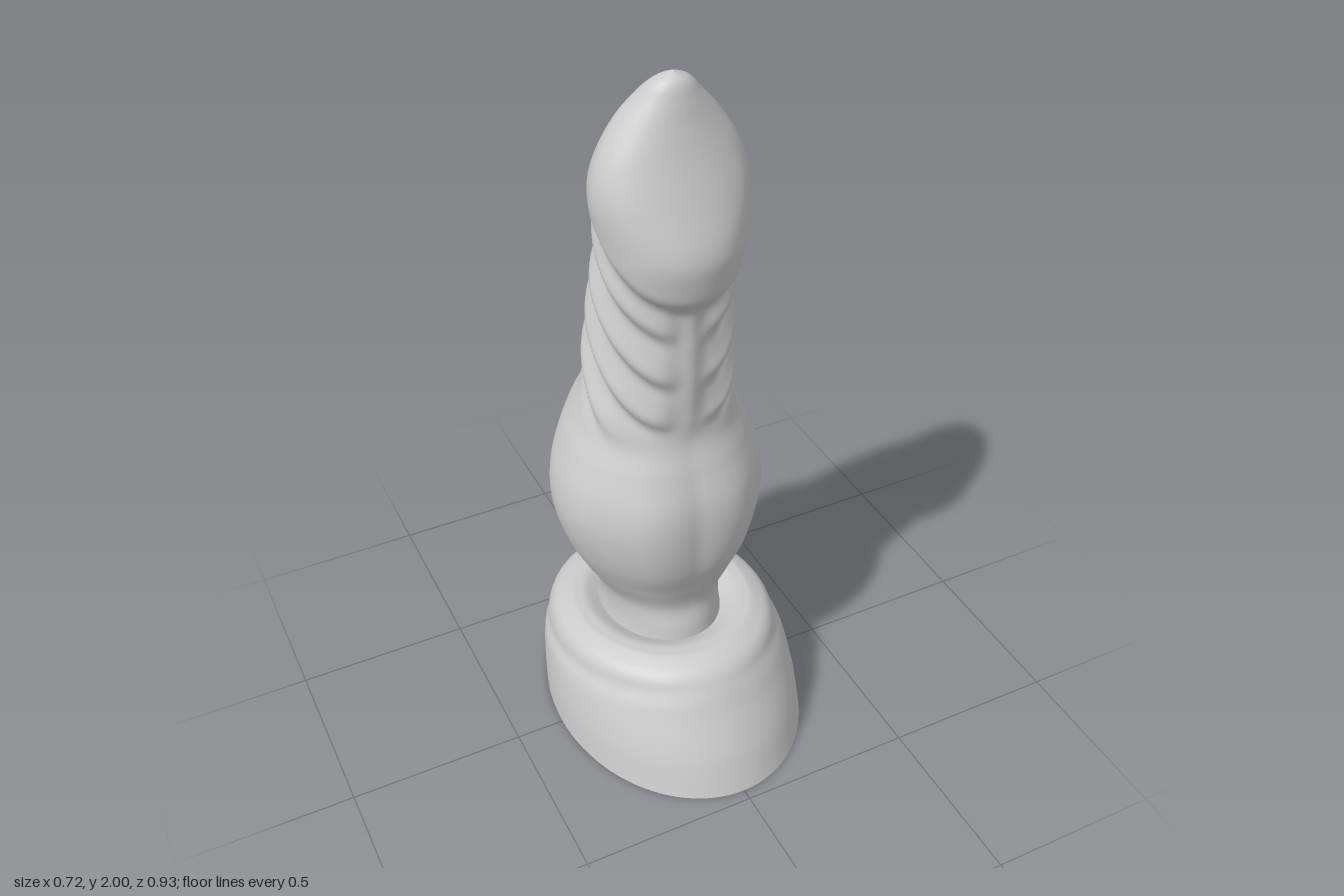
import * as THREE from 'three';

const material = new THREE.MeshStandardMaterial({ color: 0xcccccc, roughness: 0.7 });
const { smoothstep } = THREE.MathUtils;
const bump = (v, centre, width) => Math.exp(-(((v - centre) / width) ** 2));

// Smooth cubic sampling of rows [key, halfWidth, front z, back z]
function sample(rows, key) {
  let i = 0;
  while (i < rows.length - 2 && rows[i + 1][0] < key) i++;
  const a = rows[i], b = rows[i + 1];
  const before = rows[Math.max(i - 1, 0)], after = rows[Math.min(i + 2, rows.length - 1)];
  const h = b[0] - a[0], t = (key - a[0]) / h;
  return [1, 2, 3].map((c) => {
    const m0 = (h * (b[c] - before[c])) / (b[0] - before[0]);
    const m1 = (h * (after[c] - a[c])) / (after[0] - a[0]);
    const t2 = t * t, t3 = t2 * t;
    return (2 * t3 - 3 * t2 + 1) * a[c] + (t3 - 2 * t2 + t) * m0 + (3 * t2 - 2 * t3) * b[c] + (t3 - t2) * m1;
  });
}

// Closed rings stacked into one smooth skin; place() returns a vertex
function loft(name, rings, sides, place) {
  const positions = [], index = [];
  for (let i = 0; i <= rings; i++) {
    for (let j = 0; j < sides; j++) {
      positions.push(...place(i / rings, (j / sides) * Math.PI * 2));
      if (i === rings) continue;
      const a = i * sides + j, b = i * sides + ((j + 1) % sides);
      index.push(a, b, b + sides, a, b + sides, a + sides);
    }
  }
  const geometry = new THREE.BufferGeometry();
  geometry.setAttribute('position', new THREE.Float32BufferAttribute(positions, 3));
  geometry.setIndex(index);
  geometry.computeVertexNormals();
  const mesh = new THREE.Mesh(geometry, material);
  mesh.name = name;
  return mesh;
}

// Body profile: y, half width, front z, back z
const BODY = [
  [0.26, 0.175, 0.15, -0.31], [0.35, 0.165, 0.135, -0.31], [0.42, 0.178, 0.12, -0.325],
  [0.5, 0.222, 0.14, -0.342], [0.6, 0.268, 0.172, -0.36], [0.72, 0.298, 0.183, -0.372],
  [0.82, 0.293, 0.175, -0.374], [0.92, 0.262, 0.143, -0.36], [1.0, 0.228, 0.115, -0.338],
  [1.08, 0.203, 0.117, -0.3], [1.2, 0.188, 0.123, -0.28], [1.3, 0.182, 0.124, -0.26],
  [1.4, 0.177, 0.127, -0.24], [1.5, 0.172, 0.15, -0.215], [1.58, 0.176, 0.157, -0.192],
  [1.7, 0.188, 0.122, -0.152], [1.8, 0.167, 0.091, -0.125], [1.88, 0.125, 0.07, -0.107],
  [1.94, 0.079, 0.056, -0.073], [1.98, 0.043, 0.04, -0.03], [2.0, 0, 0.012, 0.01],
];

// Relative swelling of the body surface at a height and an angle from the front
function relief(y, z, angle) {
  const front = Math.min(angle, Math.PI * 2 - angle);
  const back = Math.PI - front;
  const slant = y + z;
  let d = 0;
  // slanting ribs on both sides of the shaft
  const phase = (slant - 1.015) / 0.145;
  const saw = Math.sin(phase * Math.PI * 2 + 0.45 * Math.sin(phase * Math.PI * 2));
  const ribArea = smoothstep(slant, 0.9, 1.04) * (1 - smoothstep(slant, 1.52, 1.6)) * smoothstep(y, 0.98, 1.1);
  d += 0.06 * saw * ribArea * smoothstep(Math.sin(front), 0.08, 0.6);
  // shallow channel down the front of the shaft
  d -= 0.03 * ribArea * bump(front, 0.2, 0.15);
  // raised lower lip of the head
  const lip = smoothstep(slant, 1.53, 1.61) * (1 - smoothstep(slant, 1.75, 2));
  d += 0.12 * lip * THREE.MathUtils.clamp(0.65 + 0.5 * Math.cos(front), 0, 1);
  // paired swellings and a spine behind the head
  const nape = bump(y, 1.74, 0.13);
  d += nape * (0.13 * bump(back, 0.75, 0.35) - 0.06 * bump(back, 0.27, 0.14));
  // paired lobes of the bulb, with a spine behind and a groove in front
  const bulb = bump(y, 0.74, 0.24);
  d += bulb * (0.045 * bump(back, 0.5, 0.25) - 0.04 * bump(back, 0.2, 0.1));
  d += bulb * (0.045 * bump(front, 0.42, 0.28) - 0.02 * bump(front, 0, 0.12));
  // spine running up from bulb to shaft
  d += 0.03 * bump(y, 1.0, 0.16) * (bump(back, 0, 0.14) - bump(back, 0.3, 0.14));
  return d;
}

// Base profile: share of the sloping top height, half width, front z, back z
const BASE = [
  [0, 0.36, 0.468, -0.466], [0.3, 0.356, 0.425, -0.466], [0.6, 0.343, 0.365, -0.464],
  [0.8, 0.322, 0.325, -0.455], [0.93, 0.298, 0.288, -0.425], [1.0, 0.255, 0.235, -0.37],
];

export function createModel() {
  const model = new THREE.Group();
  model.name = 'figure';

  // Body, rings packed closer towards the rounded tip
  model.add(loft('body', 220, 128, (t, angle) => {
    const y = 0.26 + 1.74 * (t < 0.9 ? t * 1.06 : 1 - 4.6 * (1 - t) ** 2);
    const [width, zf, zb] = sample(BODY, Math.min(y, 2));
    const middle = (zf + zb) / 2, depth = (zf - zb) / 2;
    const z = middle + depth * Math.cos(angle);
    const k = 1 + relief(y, z, angle);
    return [width * k * Math.sin(angle), Math.min(y, 2), middle + depth * k * Math.cos(angle)];
  }));

  // Base with a sloping top, a soft side fold and a shallow moat round the neck
  model.add(loft('base', 60, 96, (t, angle) => {
    const wall = Math.min(t / 0.75, 1), inward = Math.max((t - 0.75) / 0.25, 0);
    const [w, f, b] = sample(BASE, wall);
    const width = THREE.MathUtils.lerp(w, 0.14, inward);
    const zf = THREE.MathUtils.lerp(f, 0.1, inward), zb = THREE.MathUtils.lerp(b, -0.28, inward);
    const fold = 1 - 0.02 * bump(wall, 0.72 + 0.08 * Math.cos(angle), 0.07) * Math.abs(Math.sin(angle));
    const z = (zf + zb) / 2 + ((zf - zb) / 2) * fold * Math.cos(angle);
    const height = wall * (0.328 + 0.1 * z) - 0.035 * smoothstep(inward, 0.25, 1);
    return [width * fold * Math.sin(angle), height, z];
  }));

  // Flat underside
  const underside = new THREE.Mesh(new THREE.CircleGeometry(1, 96), material);
  underside.name = 'underside';
  underside.rotation.x = Math.PI / 2;
  underside.scale.set(0.36, 0.467, 1);
  underside.position.z = 0.001;
  model.add(underside);

  return model;
}
